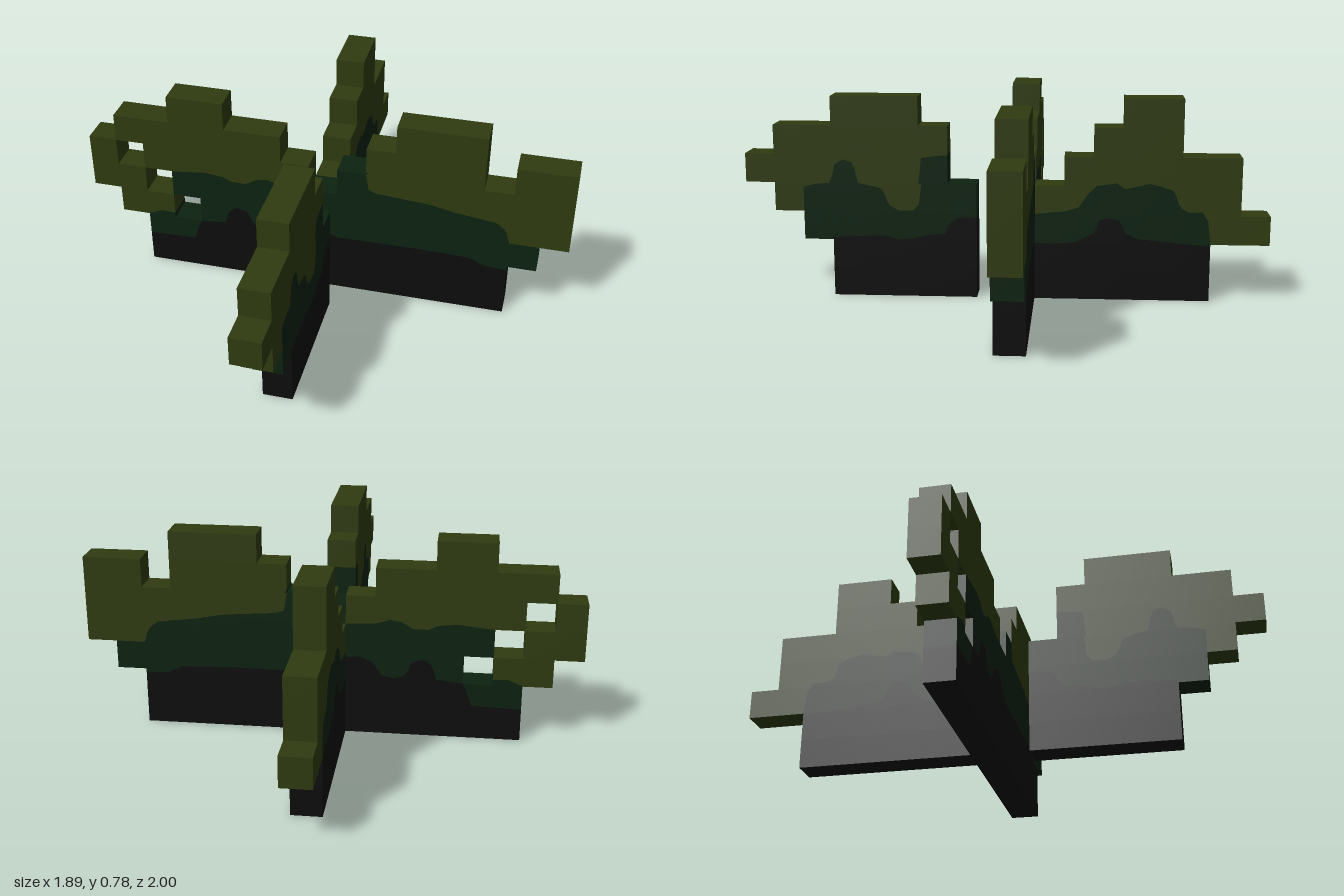
import * as THREE from 'three';

const CELL = 1 / 9;   // size of one block
const SUB = 10;       // strips per block, so the colour borders stay curved
const EPS = 1e-4;

const materials = [['soilBlack', 0x0d0d0d], ['deepGreen', 0x0c2210], ['olive', 0x2f3b10]].map(([name, color]) => {
  const m = new THREE.MeshStandardMaterial({ color });
  m.name = name;
  return m;
});
const bandNames = ['Base', 'Middle', 'Foliage'];

// Height of a border line [u, v, u, v, ...] at u; a repeated u makes a step
function heightAt(line, u) {
  if (u <= line[0]) return line[1];
  for (let i = 2; i < line.length; i += 2) {
    if (u <= line[i]) {
      const t = (u - line[i - 2]) / (line[i] - line[i - 2]);
      return line[i - 1] + t * (line[i + 1] - line[i - 1]);
    }
  }
  return line[line.length - 1];
}

// One block-thick leaf slab: rows (bottom up) hold runs of filled blocks [first, last],
// low and high are the borders between the three colours
function makeSlab(name, rows, low, high) {
  const filled = (c, r) => !!rows[r] && rows[r].some(([a, b]) => c >= a && c <= b);
  const out = [[], [], []];
  const quad = (band, a, b, c, d) => out[band].push(...a, ...b, ...c, ...a, ...c, ...d);
  const clamp = THREE.MathUtils.clamp;
  // Limits of the colour bands at u inside row r
  const limits = (u, r) => {
    const a = clamp(heightAt(low, u), r, r + 1);
    return [r, a, Math.max(a, clamp(heightAt(high, u), r, r + 1)), r + 1];
  };

  rows.forEach((runs, r) => runs.forEach(([first, last]) => {
    for (let c = first; c <= last; c++) {
      for (let s = 0; s < SUB; s++) {
        const u = c + s / SUB, w = c + (s + 1) / SUB;
        const A = limits(u + EPS, r), B = limits(w - EPS, r);
        const mid = limits((u + w) / 2, r);
        // Broad faces
        for (let k = 0; k < 3; k++) {
          if (A[k + 1] - A[k] + B[k + 1] - B[k] < EPS) continue;
          quad(k, [u, A[k], 0.5], [w, B[k], 0.5], [w, B[k + 1], 0.5], [u, A[k + 1], 0.5]);
          quad(k, [w, B[k], -0.5], [u, A[k], -0.5], [u, A[k + 1], -0.5], [w, B[k + 1], -0.5]);
        }
        // Upper and lower edges
        if (!filled(c, r + 1)) {
          const k = mid[1] >= r + 1 ? 0 : mid[2] >= r + 1 ? 1 : 2;
          quad(k, [u, r + 1, 0.5], [w, r + 1, 0.5], [w, r + 1, -0.5], [u, r + 1, -0.5]);
        }
        if (!filled(c, r - 1)) {
          const k = mid[1] > r ? 0 : mid[2] > r ? 1 : 2;
          quad(k, [u, r, -0.5], [w, r, -0.5], [w, r, 0.5], [u, r, 0.5]);
        }
      }
      // Side edges
      for (const side of [-1, 1]) {
        if (filled(c + side, r)) continue;
        const x = side < 0 ? c : c + 1;
        const L = limits(x - side * EPS, r);
        for (let k = 0; k < 3; k++) {
          if (L[k + 1] - L[k] < EPS) continue;
          const z = 0.5 * side;
          quad(k, [x, L[k], z], [x, L[k], -z], [x, L[k + 1], -z], [x, L[k + 1], z]);
        }
      }
    }
  }));

  const group = new THREE.Group();
  group.name = name;
  out.forEach((pos, k) => {
    const g = new THREE.BufferGeometry();
    g.setAttribute('position', new THREE.Float32BufferAttribute(pos, 3));
    g.computeVertexNormals();
    const mesh = new THREE.Mesh(g, materials[k]);
    mesh.name = name + bandNames[k];
    group.add(mesh);
  });
  group.scale.setScalar(CELL);
  return group;
}

export function createModel() {
  const model = new THREE.Group();
  model.name = 'crossedShrub';

  // Wide slab running left to right
  const wide = makeSlab('wideSlab',
    [
      [[2, 14]],
      [[2, 14]],
      [[1, 2], [4, 15]],
      [[0, 1], [3, 16]],
      [[0, 0], [2, 7], [9, 16]],
      [[1, 6], [10, 13], [15, 16]],
      [[3, 4], [11, 13]],
    ],
    [2, 1.15, 3.7, 1.2, 3.9, 1.8, 4, 2, 4.9, 2.1, 5.05, 2.6, 5.35, 2.82, 5.75, 2.7, 5.95, 2.2,
      6.3, 2.08, 6.75, 2.15, 7.1, 2.65, 7.5, 2.82, 8, 2.78, 8.5, 2.4, 9, 2.18, 12, 2.2,
      13.7, 2.15, 14.2, 1.9, 15, 1.86, 17, 1.8],
    [0, 1.8, 2, 1.8, 2, 2.02, 2.5, 2.22, 3, 2.2, 3, 4, 3.55, 4.05, 4.25, 4.13, 4.9, 4.05, 5.2, 3.9,
      5.75, 3.9, 6.1, 4.13, 6.5, 4.2, 6.95, 4.05, 8, 4, 8, 4.2, 9, 4.2, 9, 5.1, 10, 5.1,
      10.05, 4.4, 10.35, 4.27, 12.2, 4.13, 13.1, 3.95, 14.5, 3.77, 14.85, 3.5, 15, 3, 17, 3]);
  wide.position.set(-8.5 * CELL, 0, -0.5 * CELL);

  // Front arm, standing one block clear of the wide slab
  const front = makeSlab('frontArm',
    [[[1, 5]], [[1, 5]], [[1, 6]], [[1, 7]], [[2, 8]], [[2, 7]], [[3, 5]]],
    [1, 2.83, 1.65, 2.83, 1.95, 2.6, 2.1, 2.25, 2.7, 2.2, 3.2, 2.07, 3.7, 2.02, 4.2, 2.16,
      5, 2.13, 6, 2.07, 6, 1.9, 9, 1.9],
    [1, 4.1, 2, 4.1, 2, 5, 2.2, 5, 2.9, 4.9, 2.98, 3.3, 3.2, 3.05, 3.7, 3.05, 4.05, 3.25,
      4.25, 3.8, 4.6, 3.9, 5.1, 4, 5.25, 4.7, 5.6, 4.82, 5.9, 4.65, 6.05, 4, 6.6, 3.95,
      7, 3.85, 7, 2, 9, 2]);
  front.rotation.y = -Math.PI / 2;

  // Back arm, touching the wide slab
  const back = makeSlab('backArm',
    [[[1, 6]], [[1, 6]], [[1, 8]], [[1, 7]], [[2, 7]], [[3, 5]], [[4, 5]]],
    [1, 1.97, 1.65, 1.95, 2.35, 2.02, 2.7, 2.17, 3.08, 2.4, 3.2, 2.8, 3.55, 2.9, 3.95, 2.75,
      4.1, 2.36, 4.5, 2.17, 6, 2.02, 7, 1.93],
    [1, 3, 2, 3.1, 2.5, 3.25, 2.8, 3.7, 3.1, 4, 3.8, 4.1, 4.05, 3.9, 4.5, 4, 4.9, 4.1, 5.3, 4,
      5.75, 3.85, 5.93, 3.3, 6.2, 3.13, 6.7, 3.13, 6.95, 2.75, 7, 2, 7, 1.9, 9, 1.9]);
  back.rotation.y = Math.PI / 2;

  model.add(wide, front, back);
  return model;
}
